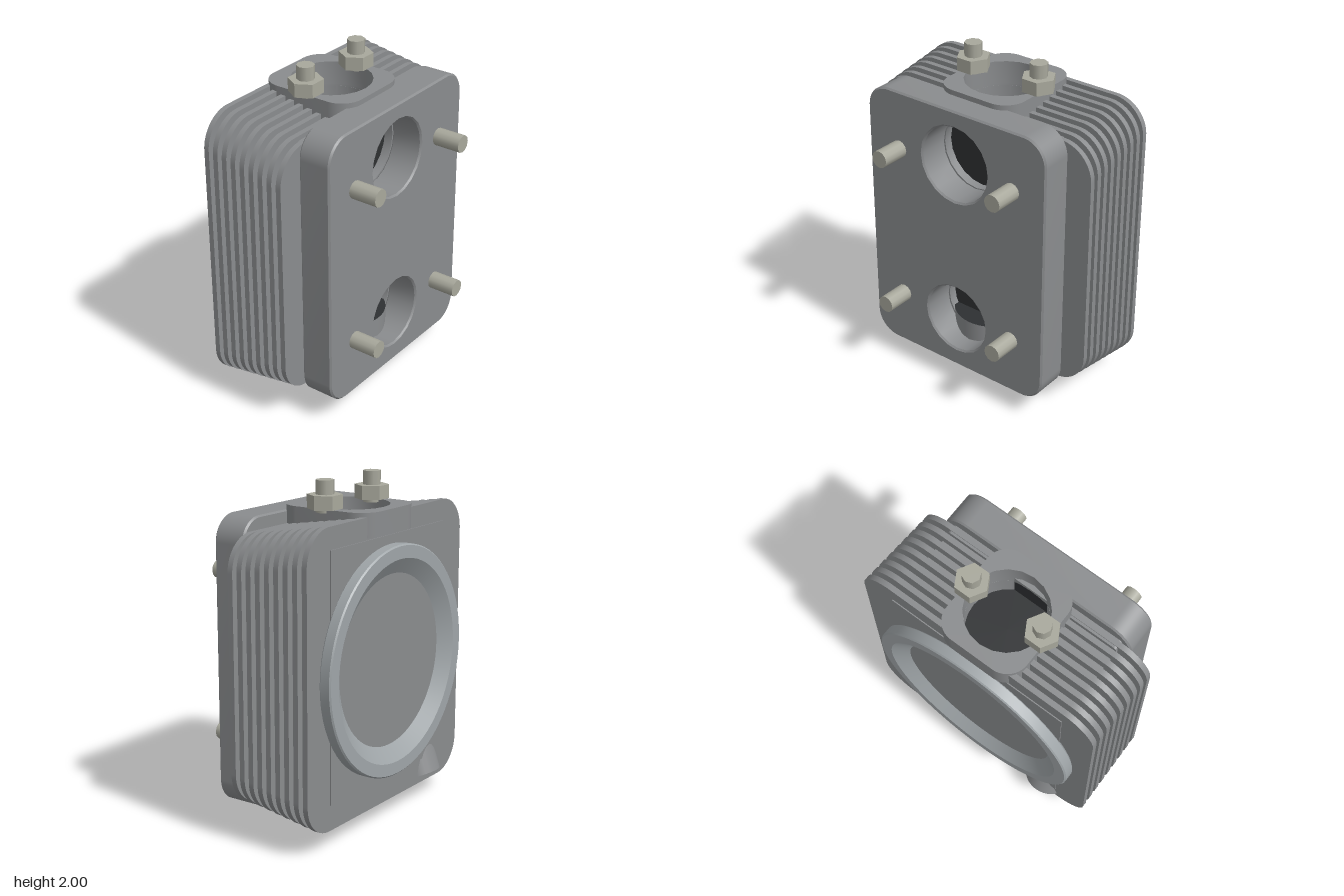
import * as THREE from 'three';
import { toCreasedNormals } from 'three/addons/utils/BufferGeometryUtils.js';

const mat = (color, side = THREE.FrontSide) => new THREE.MeshStandardMaterial({ color, side });

// rounded rectangle centred on (cx, cy)
function roundedRect(cx, cy, w, h, r) {
  const s = new THREE.Shape(), x = w / 2, y = h / 2;
  s.absarc(cx + x - r, cy + y - r, r, 0, Math.PI / 2);
  s.absarc(cx - x + r, cy + y - r, r, Math.PI / 2, Math.PI);
  s.absarc(cx - x + r, cy - y + r, r, Math.PI, Math.PI * 1.5);
  s.absarc(cx + x - r, cy - y + r, r, Math.PI * 1.5, Math.PI * 2);
  return s;
}

function addHole(shape, x, y, r) {
  const p = new THREE.Path();
  p.absarc(x, y, r, 0, Math.PI * 2, true);
  shape.holes.push(p);
  return shape;
}

// extrude a (z, y) shape along x, or an (x, z) shape along y
function extrude(shape, axis, from, to, bevel = 0) {
  const g = new THREE.ExtrudeGeometry(shape, {
    depth: to - from - 2 * bevel, curveSegments: 10, bevelEnabled: bevel > 0,
    bevelThickness: bevel, bevelSize: bevel, bevelOffset: -bevel, bevelSegments: 1,
  });
  g.translate(0, 0, from + bevel);
  if (axis === 'x') g.rotateY(Math.PI / 2);
  else g.rotateX(-Math.PI / 2);
  return toCreasedNormals(g, 0.6);
}

export function createModel() {
  const root = new THREE.Group();
  const metal = mat(0x8a8c8e), thin = mat(0x8a8c8e, THREE.DoubleSide);
  const steel = mat(0xa8a89c), dark = mat(0x2e3032, THREE.DoubleSide);
  const bright = mat(0x9fa5a8, THREE.DoubleSide);
  const add = (name, geo, material, parent = root) => {
    const m = new THREE.Mesh(geo, material);
    m.name = name;
    parent.add(m);
    return m;
  };

  // side ports (z = 0) and vertical bores (z = 0)
  const ports = [{ y: 1.48, r: 0.23 }, { y: 0.46, r: 0.215 }];
  const bore = 0.235, topX = -0.14, lowX = -0.037, topEnd = 1.56, lowEnd = 0.37, inner = 0.065;
  const withPorts = (s) => { ports.forEach((p) => addHole(s, 0, p.y, p.r)); return s; };

  // mounting plate
  add('mountingPlate', extrude(withPorts(roundedRect(0, 0.97, 1.25, 1.68, 0.15)), 'x', 0.12, 0.32, 0.01), metal);

  // core: solid middle, bored ends, slab pierced by the ports
  const boredSection = (cx) => {
    const s = new THREE.Shape(), a = Math.acos((inner - cx) / bore), h = bore * Math.sin(a);
    s.moveTo(-0.42, -0.565);
    s.lineTo(inner, -0.565);
    s.lineTo(inner, -h);
    s.absarc(cx, 0, bore, -a, a, true);
    s.lineTo(inner, 0.565);
    s.lineTo(-0.42, 0.565);
    return s;
  };
  const core = new THREE.Group();
  core.name = 'core';
  root.add(core);
  const mid = add('coreMiddle', new THREE.BoxGeometry(inner + 0.42, topEnd - lowEnd, 1.13), metal, core);
  mid.position.set((inner - 0.42) / 2, (topEnd + lowEnd) / 2, 0);
  add('coreTop', extrude(boredSection(topX), 'y', topEnd, 1.69), metal, core);
  add('coreBottom', extrude(boredSection(lowX), 'y', 0.27, lowEnd), metal, core);
  add('portSlab', extrude(withPorts(roundedRect(0, 0.98, 1.13, 1.5, 0.02)), 'x', inner, 0.12), metal, core);

  // cooling fins, shorter towards the plate and notched for the bores
  const fins = new THREE.Group();
  fins.name = 'coolingFins';
  root.add(fins);
  for (let i = 0; i < 9; i++) {
    const x = -0.398 + i * 0.0617, t = 0.016, last = i === 8;
    const yt = 1.815 - i * 0.01, yb = 0.12 + i * 0.01, r = 0.2, w = 0.77;
    const chord = (cx) => {
      const d = Math.max(0, Math.abs(x - cx) - t);
      return d < bore ? Math.sqrt(bore * bore - d * d) : 0;
    };
    const ht = chord(topX), hb = chord(lowX);
    const nt = last ? 1.715 : topEnd, nb = last ? 0.24 : lowEnd;
    const s = new THREE.Shape();
    s.absarc(w - r, yt - r, r, 0, Math.PI / 2);
    if (ht > 0) [[ht, yt], [ht, nt], [-ht, nt], [-ht, yt]].forEach((p) => s.lineTo(...p));
    s.absarc(r - w, yt - r, r, Math.PI / 2, Math.PI);
    s.absarc(r - w, yb + r, r, Math.PI, Math.PI * 1.5);
    if (hb > 0) [[-hb, yb], [-hb, nb], [hb, nb], [hb, yb]].forEach((p) => s.lineTo(...p));
    s.absarc(w - r, yb + r, r, Math.PI * 1.5, Math.PI * 2);
    add('fin', extrude(last ? withPorts(s) : s, 'x', x - t, x + t), metal, fins);
  }

  // flanges with bore walls and dark bore ends
  for (const [name, cx, y0, y1, w0, w1, end] of [
    ['topFlange', topX, 1.7, 1.84, topEnd, 1.83, topEnd + 0.003],
    ['bottomFlange', lowX, 0.135, 0.24, 0.14, lowEnd, lowEnd - 0.003],
  ]) {
    const flange = addHole(roundedRect(cx, 0, 0.61, 0.53, 0.13), cx, 0, bore);
    add(name, extrude(flange, 'y', y0, y1), metal);
    const wall = add('boreWall', new THREE.CylinderGeometry(bore, bore, w1 - w0, 40, 1, true), thin);
    wall.position.set(cx, (w0 + w1) / 2, 0);
    const disc = add('boreEnd', new THREE.CircleGeometry(bore, 40), dark);
    disc.rotation.x = -Math.PI / 2;
    disc.position.set(cx, end, 0);
  }

  // dark ends of the side ports
  for (const p of ports) {
    const disc = add('portEnd', new THREE.CircleGeometry(p.r, 40), dark);
    disc.rotation.y = Math.PI / 2;
    disc.position.set(inner + 0.002, p.y, 0);
  }

  // round spigot with a dished chamber
  const profile = [[0.655, 0], [0.67, 0.015], [0.67, 0.072], [0.662, 0.08], [0.59, 0.08], [0.5, 0.02]]
    .map((p) => new THREE.Vector2(...p));
  const ring = add('spigotRing', toCreasedNormals(new THREE.LatheGeometry(profile, 64), 0.5), bright);
  ring.rotation.z = Math.PI / 2;
  ring.position.set(-0.41, 0.97, 0);
  const dish = add('chamberFloor', new THREE.CircleGeometry(0.505, 64), metal);
  dish.rotation.y = -Math.PI / 2;
  dish.position.set(-0.43, 0.97, 0);

  // slanted plug boss
  const boss = new THREE.Group();
  boss.name = 'plugBoss';
  boss.position.set(-0.3375, 0.137, 0.455);
  boss.rotation.z = -0.34;
  root.add(boss);
  add('bossBody', new THREE.CylinderGeometry(0.145, 0.145, 0.36, 32), metal, boss).position.y = 0.18;
  const plugHole = add('plugHole', new THREE.CircleGeometry(0.08, 24), dark, boss);
  plugHole.rotation.x = Math.PI / 2;
  plugHole.position.y = -0.002;

  // studs and nuts
  const stud = (len, sides) => new THREE.CylinderGeometry(0.052, 0.052, len, sides);
  for (const s of [-1, 1]) {
    add('topStud', stud(0.18, 8), steel).position.set(topX, 1.91, s * 0.23);
    const nut = new THREE.CylinderGeometry(0.1, 0.1, 0.08, 6).toNonIndexed();
    nut.computeVertexNormals();
    add('nut', nut, steel).position.set(topX, 1.88, s * 0.23);
    add('bottomStud', stud(0.2, 12), steel).position.set(lowX, 0.1, s * 0.215);
    for (const y of [0.485, 1.455]) {
      const side = add('sideStud', stud(0.19, 12), steel);
      side.rotation.z = Math.PI / 2;
      side.position.set(0.395, y, s * 0.4);
    }
  }
  return root;
}
